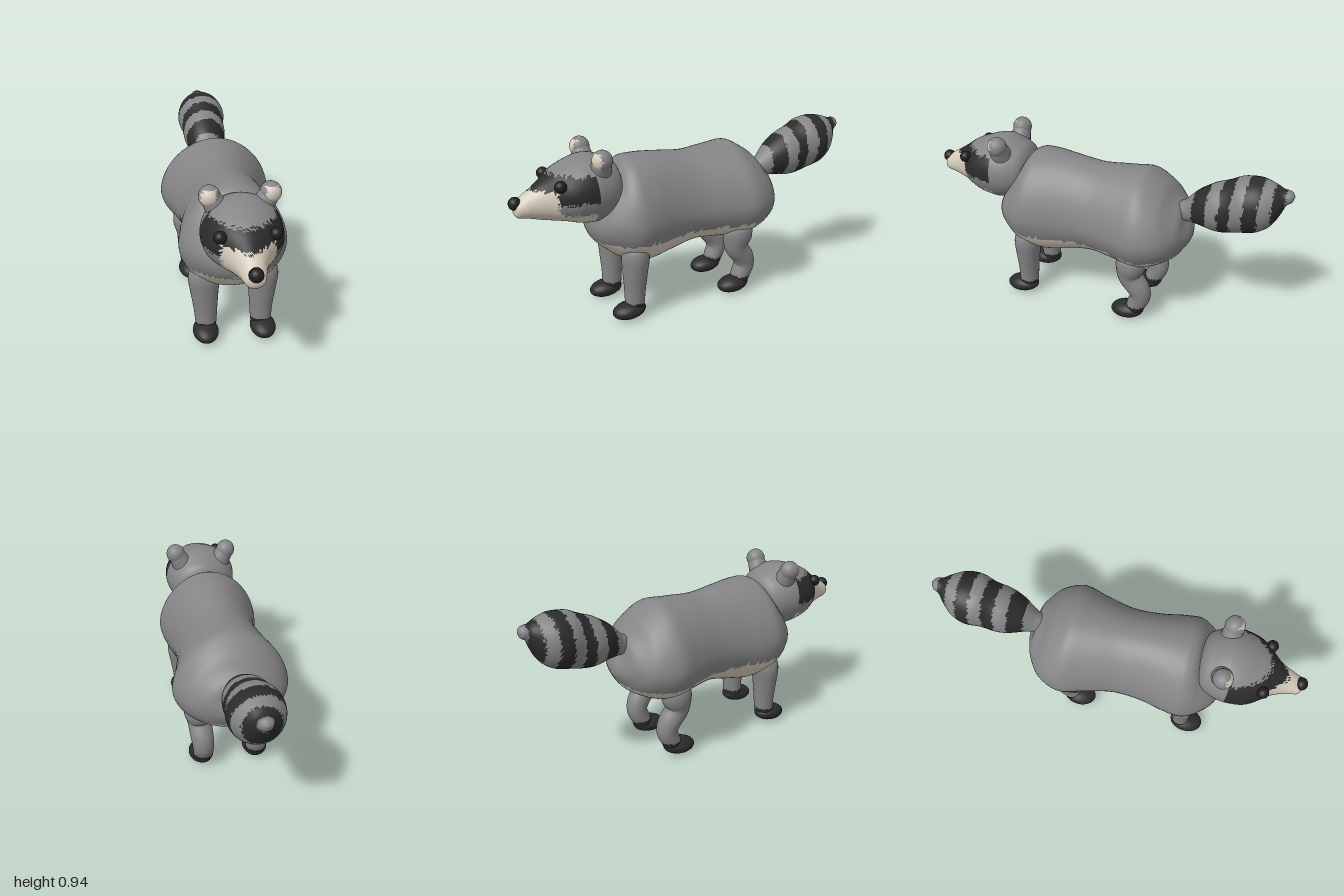
import * as THREE from 'three';

const mat = (name, color, side) => Object.assign(new THREE.MeshStandardMaterial({ color }), { name });
const grey = mat('grey fur', 0x858587);
const dark = mat('dark fur', 0x2b2b2b);
const cream = mat('cream fur', 0xd6ccbc);
const black = mat('nose and eye black', 0x1f1f1f);
const FUR = [grey, dark, cream];
const GREY = 0, DARK = 1, CREAM = 2;

// Smooth interpolation through rows of numbers
function sample(rows, t) {
  const f = t * (rows.length - 1), i = Math.min(Math.floor(f), rows.length - 2), u = f - i;
  const at = k => rows[Math.max(0, Math.min(rows.length - 1, k))];
  return rows[0].map((_, c) => {
    const a = at(i - 1)[c], b = at(i)[c], d = at(i + 1)[c], e = at(i + 2)[c];
    return b + 0.5 * u * (d - a + u * (2 * a - 5 * b + 4 * d - e + u * (3 * (b - d) + e - a)));
  });
}

// Sorts the triangles of an indexed geometry into fur groups by their centre
function paintFaces(geo, paint) {
  const p = geo.attributes.position, idx = geo.index.array, sets = [[], [], []];
  for (let i = 0; i < idx.length; i += 3) {
    const t = [idx[i], idx[i + 1], idx[i + 2]];
    const mid = g => (g(t[0]) + g(t[1]) + g(t[2])) / 3;
    const x = mid(k => p.getX(k)), y = mid(k => p.getY(k)), z = mid(k => p.getZ(k));
    const h = Math.sin(Math.abs(x) * 917 + y * 433 + z * 691) * 0.008; // ragged fur edge
    sets[paint(x, y, z, h)].push(...t);
  }
  geo.setIndex(sets.flat());
  geo.clearGroups();
  let start = 0;
  sets.forEach((s, m) => {
    if (s.length) geo.addGroup(start, s.length, m);
    start += s.length;
  });
  return geo;
}

// Skin over oval rings; each row is [x, y, z, upper radius, lower radius, half width]
function loft(name, rows, rings, sides, paint, taper = 0) {
  const pos = [], idx = [];
  for (let i = 0; i <= rings; i++) {
    const t = i / rings;
    const [x, y, z, up, down, w] = sample(rows, t);
    const a = sample(rows, Math.max(0, t - 0.01)), b = sample(rows, Math.min(1, t + 0.01));
    const len = Math.hypot(b[1] - a[1], b[2] - a[2]) || 1;
    const ty = (b[1] - a[1]) / len, tz = (b[2] - a[2]) / len;
    for (let j = 0; j < sides; j++) {
      const q = (j / sides) * Math.PI * 2, s = Math.sin(q);
      const r = s * Math.max(0, s > 0 ? up : down);
      const side = Math.cos(q) * Math.max(0, w) * (1 - taper * Math.max(0, s));
      pos.push(x + side, y + r * tz, z - r * ty);
      if (i < rings) {
        const k = i * sides + j, n = i * sides + (j + 1) % sides;
        idx.push(k, n, k + sides, n, n + sides, k + sides);
      }
    }
  }
  const geo = new THREE.BufferGeometry();
  geo.setAttribute('position', new THREE.Float32BufferAttribute(pos, 3));
  geo.setIndex(idx);
  geo.computeVertexNormals();
  const mesh = new THREE.Mesh(paintFaces(geo, paint), FUR);
  mesh.name = name;
  return mesh;
}

function ball(name, material, x, y, z, rx, ry = rx, rz = rx) {
  const mesh = new THREE.Mesh(new THREE.SphereGeometry(1, 28, 20).scale(rx, ry, rz), material);
  mesh.position.set(x, y, z);
  mesh.name = name;
  return mesh;
}

const paintBody = (x, y, z, h) => (y + h < 0.43 ? CREAM : GREY);

// Eye mask, grey cheek patches and pale muzzle in front of the ears
function paintHead(x, y, z, h) {
  if (z < 0.6 || y + h > 0.82) return GREY;
  if (y + h > 0.748) return DARK;
  if (Math.abs(x) + h > 0.125 && y + h > 0.69) return DARK;
  return Math.abs(x) + h > 0.125 && y + h > 0.625 ? GREY : CREAM;
}

const tailBands = [[-0.585, -0.505], [-0.71, -0.65], [-0.845, -0.775], [-0.96, -0.905]];
const paintTail = (x, y, z, h) =>
  (tailBands.some(([a, b]) => z + h * 0.6 > a && z + h * 0.6 < b) ? DARK : GREY);

const paintLeg = (x, y, z, h) => (y + h * 0.6 < 0.09 ? DARK : GREY);

export function createModel() {
  const model = new THREE.Group();
  model.name = 'raccoon';

  model.add(loft('body', [
    [0, 0.57, -0.485, 0, 0, 0],
    [0, 0.565, -0.472, 0.09, 0.09, 0.11],
    [0, 0.56, -0.44, 0.145, 0.135, 0.185],
    [0, 0.55, -0.375, 0.23, 0.185, 0.263],
    [0, 0.54, -0.26, 0.30, 0.225, 0.305],
    [0, 0.54, -0.12, 0.295, 0.22, 0.268],
    [0, 0.54, 0.03, 0.284, 0.213, 0.235],
    [0, 0.54, 0.18, 0.3, 0.248, 0.24],
    [0, 0.54, 0.30, 0.31, 0.27, 0.265],
    [0, 0.54, 0.40, 0.305, 0.245, 0.275],
    [0, 0.55, 0.48, 0.27, 0.185, 0.235],
    [0, 0.57, 0.545, 0.18, 0.12, 0.155],
    [0, 0.59, 0.58, 0, 0, 0],
  ], 72, 56, paintBody, 0.1));

  model.add(loft('head', [
    [0, 0.72, 0.42, 0, 0, 0],
    [0, 0.72, 0.445, 0.11, 0.11, 0.12],
    [0, 0.717, 0.495, 0.15, 0.15, 0.168],
    [0, 0.713, 0.56, 0.177, 0.172, 0.191],
    [0, 0.71, 0.62, 0.176, 0.175, 0.197],
    [0, 0.70, 0.70, 0.156, 0.152, 0.185],
    [0, 0.69, 0.76, 0.138, 0.125, 0.15],
    [0, 0.68, 0.82, 0.107, 0.103, 0.1],
    [0, 0.67, 0.88, 0.078, 0.078, 0.07],
    [0, 0.66, 0.93, 0.058, 0.052, 0.056],
    [0, 0.657, 0.967, 0.038, 0.037, 0.042],
    [0, 0.657, 0.98, 0, 0, 0],
  ], 66, 60, paintHead));
  model.add(ball('nose', black, 0, 0.69, 0.967, 0.034, 0.034, 0.033));

  model.add(loft('tail', [
    [0, 0.645, -0.43, 0.05, 0.05, 0.05],
    [0, 0.66, -0.48, 0.065, 0.065, 0.065],
    [0, 0.69, -0.56, 0.105, 0.105, 0.105],
    [0, 0.71, -0.63, 0.13, 0.13, 0.123],
    [0, 0.735, -0.71, 0.138, 0.138, 0.125],
    [0, 0.765, -0.79, 0.145, 0.145, 0.14],
    [0, 0.80, -0.86, 0.122, 0.122, 0.122],
    [0, 0.825, -0.915, 0.078, 0.078, 0.08],
    [0, 0.838, -0.95, 0.043, 0.043, 0.045],
    [0, 0.847, -0.983, 0.028, 0.028, 0.03],
    [0, 0.85, -1.0, 0, 0, 0],
  ], 64, 40, paintTail));

  for (const s of [1, -1]) {
    const side = s > 0 ? 'left' : 'right';

    model.add(ball(side + 'Eye', black, s * 0.128, 0.78, 0.775, 0.031));

    // Round ear with pale inner face, on a short tapered stem
    const ear = new THREE.Group();
    ear.name = side + 'Ear';
    const knobGeo = new THREE.SphereGeometry(1, 28, 22).scale(0.052, 0.053, 0.052);
    const knob = new THREE.Mesh(
      paintFaces(knobGeo, (x, y, z, h) => (z + h > 0.022 && s * x + h > -0.027 && y < 0.04 ? CREAM : GREY)), FUR);
    knob.name = 'earKnob';
    const stem = new THREE.Mesh(new THREE.CylinderGeometry(0.047, 0.062, 0.09, 24), grey);
    stem.name = 'earStem';
    stem.position.set(-s * 0.025, -0.045, -0.002);
    stem.rotation.z = -s * 0.5;
    ear.add(knob, stem);
    ear.position.set(s * 0.145, 0.885, 0.562);
    model.add(ear);

    // Straight front leg
    model.add(loft(side + 'FrontLeg', [
      [s * 0.155, 0.43, 0.402, 0, 0, 0],
      [s * 0.155, 0.405, 0.402, 0.055, 0.055, 0.06],
      [s * 0.154, 0.35, 0.402, 0.072, 0.072, 0.08],
      [s * 0.151, 0.26, 0.404, 0.066, 0.064, 0.072],
      [s * 0.147, 0.16, 0.406, 0.057, 0.055, 0.061],
      [s * 0.146, 0.09, 0.408, 0.053, 0.051, 0.056],
      [s * 0.146, 0.035, 0.41, 0.045, 0.045, 0.05],
    ], 40, 30, paintLeg));

    // Hind leg bent at the hock
    model.add(loft(side + 'HindLeg', [
      [s * 0.165, 0.43, -0.225, 0, 0, 0],
      [s * 0.165, 0.405, -0.225, 0.065, 0.065, 0.065],
      [s * 0.163, 0.35, -0.22, 0.083, 0.08, 0.08],
      [s * 0.158, 0.275, -0.215, 0.066, 0.062, 0.066],
      [s * 0.154, 0.205, -0.26, 0.06, 0.06, 0.062],
      [s * 0.15, 0.15, -0.273, 0.056, 0.056, 0.058],
      [s * 0.148, 0.09, -0.25, 0.052, 0.052, 0.056],
      [s * 0.148, 0.04, -0.235, 0.044, 0.044, 0.05],
    ], 44, 30, paintLeg));

    // Paws, tipped slightly down at the toes
    for (const [part, z] of [['FrontPaw', 0.445], ['HindPaw', -0.2]]) {
      const paw = ball(side + part, dark, s * 0.152, 0.047, z, 0.067, 0.045, 0.092);
      paw.rotation.x = 0.1;
      model.add(paw);
    }
  }
  return model;
}
